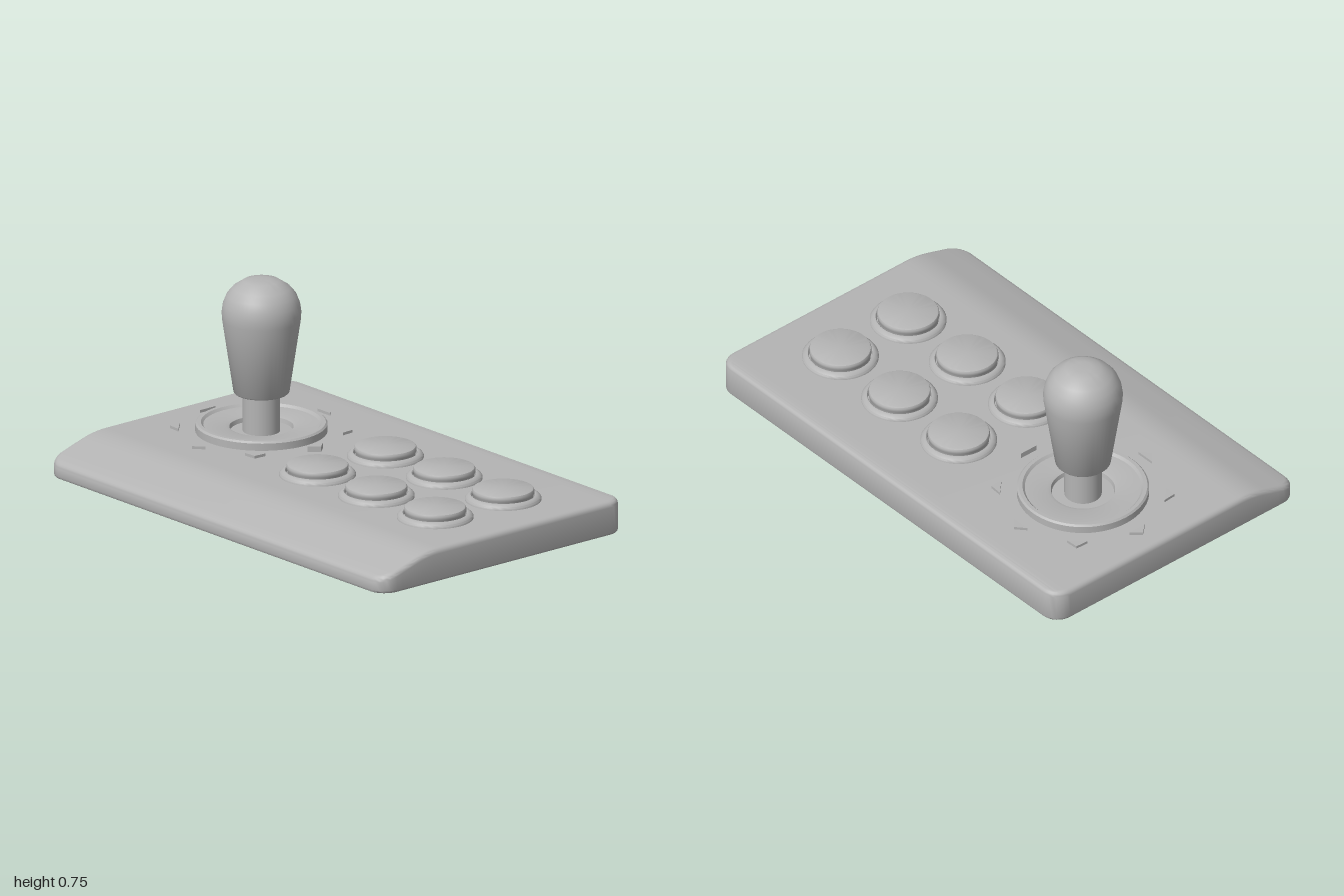
import * as THREE from 'three';
import { toCreasedNormals } from 'three/addons/utils/BufferGeometryUtils.js';

const grey = new THREE.MeshStandardMaterial({ color: 0xb4b4b4 });
grey.name = 'plainGrey';

const HALF_X = 1, HALF_Z = 0.623, CORNER = 0.075, TOP = 0.135;

// Height of the case top: flat, then easing into a slope towards the front.
function topHeight(z) {
  const start = 0.33, end = 0.45, slope = 0.31;
  if (z <= start) return TOP;
  if (z <= end) return TOP - slope * (z - start) ** 2 / (2 * (end - start));
  return TOP - slope * (end - start) / 2 - slope * (z - end);
}

// Rounded-rectangle outline: right half from back to front, then mirrored.
function outline(inset) {
  const r = CORNER - inset, cx = HALF_X - CORNER, cz = HALF_Z - CORNER;
  const half = [];
  for (let i = 0; i <= 8; i++) {
    const a = (i / 8) * Math.PI / 2;
    half.push([cx + r * Math.sin(a), -cz - r * Math.cos(a)]);
  }
  for (let z = 0.3; z < cz - 0.01; z += 0.02) half.push([HALF_X - inset, z]);
  for (let i = 0; i <= 8; i++) {
    const a = (i / 8) * Math.PI / 2;
    half.push([cx + r * Math.cos(a), cz + r * Math.sin(a)]);
  }
  return half.concat(half.map(([x, z]) => [-x, z]).reverse());
}

// Case: stacked outlines with rounded rims, capped by strips from side to side.
function caseGeometry() {
  const rings = [];
  const addRing = (inset, yOf) => rings.push(outline(inset).map(([x, z]) => [x, yOf(z), z]));
  const low = 0.01, edge = 0.022;
  for (let k = 0; k <= 3; k++) {
    const a = (k / 3) * Math.PI / 2;
    addRing(low * (1 - Math.sin(a)), () => low * (1 - Math.cos(a)));
  }
  for (let k = 0; k <= 5; k++) {
    const a = (k / 5) * Math.PI / 2;
    addRing(edge * (1 - Math.cos(a)), (z) => topHeight(z) - edge * (1 - Math.sin(a)));
  }
  const n = rings[0].length, index = [];
  for (let k = 0; k < rings.length - 1; k++) {
    for (let i = 0; i < n; i++) {
      const j = (i + 1) % n;
      const a = k * n + i, b = k * n + j, c = b + n, d = a + n;
      index.push(a, c, b, a, d, c);
    }
  }
  const t = (rings.length - 1) * n;
  for (let i = 0; i < n / 2 - 1; i++) {
    const r0 = i, r1 = i + 1, l0 = n - 1 - i, l1 = n - 2 - i;
    index.push(t + l0, t + l1, t + r0, t + r0, t + l1, t + r1);
    index.push(l0, r0, l1, r0, r1, l1);
  }
  const geo = new THREE.BufferGeometry();
  geo.setAttribute('position', new THREE.Float32BufferAttribute(rings.flat(2), 3));
  geo.setIndex(index);
  return toCreasedNormals(geo, 0.6);
}

// Turned part from a [radius, height] profile.
function turned(profile, segments = 48, crease = 0.7) {
  const geo = new THREE.LatheGeometry(profile.map(([r, y]) => new THREE.Vector2(r, y)), segments);
  return toCreasedNormals(geo, crease);
}

function addMesh(parent, name, geometry) {
  const mesh = new THREE.Mesh(geometry, grey);
  mesh.name = name;
  parent.add(mesh);
  return mesh;
}

export function createModel() {
  const model = new THREE.Group();
  model.name = 'arcadeController';
  addMesh(model, 'case', caseGeometry());

  // Joystick: collar with a central hole, shaft and bat-shaped handle
  const joystick = new THREE.Group();
  joystick.name = 'joystick';
  joystick.position.set(-0.565, 0, -0.105);
  model.add(joystick);
  addMesh(joystick, 'collar', turned([
    [0.257, 0.13], [0.257, 0.164], [0.25, 0.171], [0.235, 0.171], [0.226, 0.161],
    [0.14, 0.157], [0.125, 0.152], [0.12, 0.13],
  ], 64, 0.5));
  addMesh(joystick, 'shaft', new THREE.CylinderGeometry(0.073, 0.073, 0.18, 32)).position.y = 0.215;
  addMesh(joystick, 'handle', turned([
    [0, 0.29], [0.103, 0.29], [0.109, 0.296], [0.153, 0.59], [0.155, 0.62], [0.15, 0.655],
    [0.136, 0.69], [0.113, 0.718], [0.07, 0.747], [0.035, 0.752], [0, 0.752],
  ]));

  // Eight direction arrows around the joystick
  for (let i = 0; i < 8; i++) {
    const shape = new THREE.Shape();
    shape.moveTo(0.32, -0.04);
    shape.lineTo(0.355, 0);
    shape.lineTo(0.32, 0.04);
    shape.closePath();
    const depth = i === 0 ? 0.027 : 0.016;
    const geo = new THREE.ExtrudeGeometry(shape, { depth, bevelEnabled: false });
    geo.rotateX(-Math.PI / 2);
    const arrow = addMesh(joystick, 'directionArrow', geo);
    arrow.position.y = 0.13;
    arrow.rotation.y = i * Math.PI / 4;
  }

  // Six push buttons in two rows
  const rimGeo = turned([
    [0.149, 0.13], [0.149, 0.142], [0.145, 0.148], [0.134, 0.156], [0.127, 0.157],
    [0.124, 0.154], [0.122, 0.14],
  ], 48, 0.6);
  const plungerGeo = turned([
    [0.117, 0.135], [0.117, 0.157], [0.121, 0.162], [0.121, 0.174], [0.118, 0.18],
    [0.111, 0.183], [0, 0.184],
  ]);
  for (const z of [-0.255, 0.093]) {
    for (const x of [0, 0.35, 0.7]) {
      const button = new THREE.Group();
      button.name = 'button';
      button.position.set(x - 0.002, 0, z);
      addMesh(button, 'buttonRim', rimGeo);
      addMesh(button, 'buttonPlunger', plungerGeo);
      model.add(button);
    }
  }
  return model;
}
